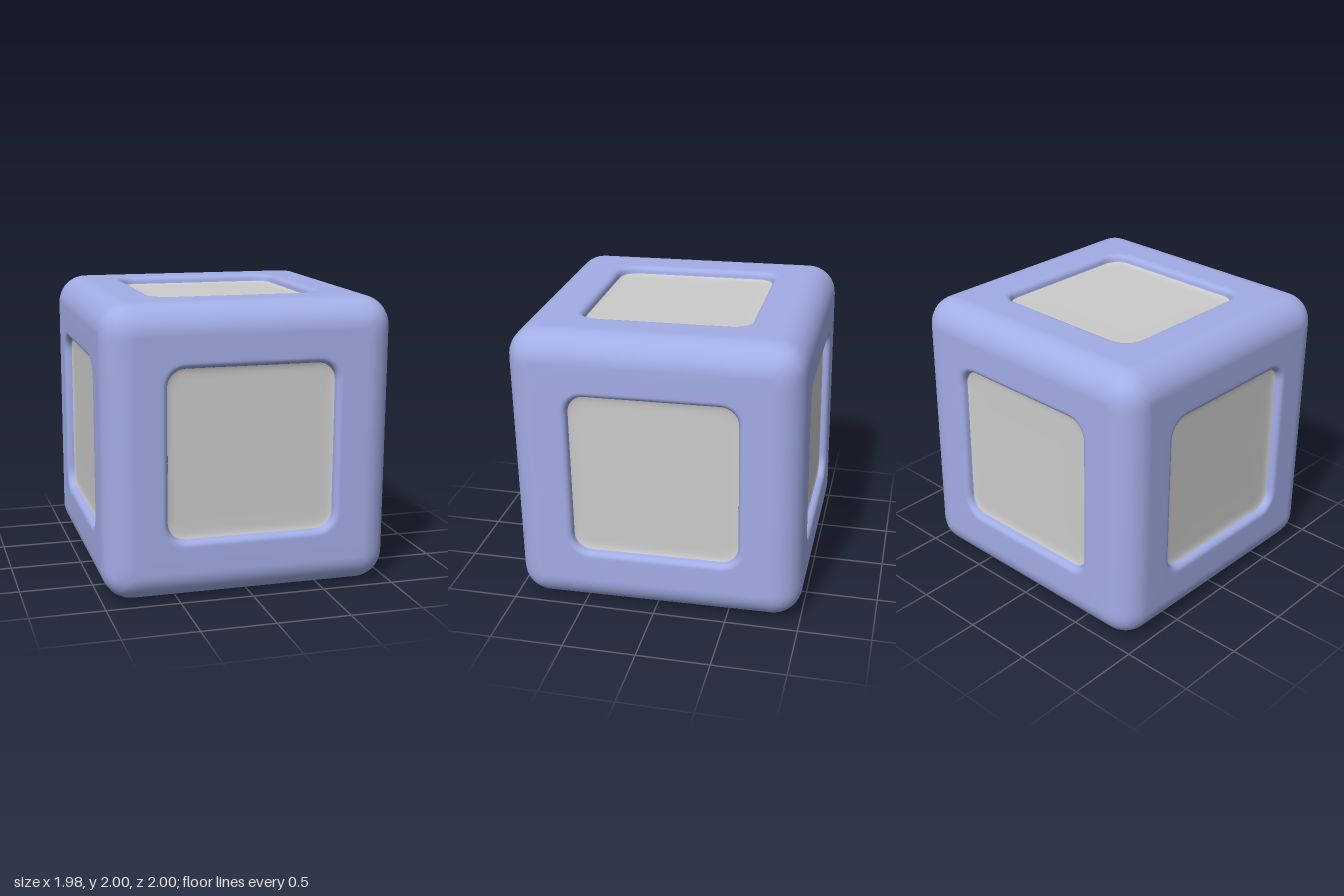
import * as THREE from 'three';
import { mergeGeometries, mergeVertices } from 'three/addons/utils/BufferGeometryUtils.js';

const H = 0.988;   // half size of the cube
const R = 0.2;     // radius of the outer edges
const SIDE = 36;   // points along each side of a loop

// Loop of points round a square of half size a with corner radius c.
function squareLoop(a, c) {
  const points = [];
  const inner = new THREE.Vector2(a - c, a - c);
  const centre = new THREE.Vector2();
  for (let s = 0; s < 4; s++) {
    for (let i = 0; i < SIDE; i++) {
      const p = new THREE.Vector2(a, a * (2 * i / SIDE - 1));
      const q = p.clone().clamp(inner.clone().negate(), inner);
      p.sub(q).normalize().multiplyScalar(c).add(q);
      points.push(p.rotateAround(centre, s * Math.PI / 2));
    }
  }
  return points;
}

// Surface through a list of loops [half size, corner radius, depth], inside to outside.
function loft(rings) {
  const n = SIDE * 4, pos = [], index = [];
  const lo = new THREE.Vector3().setScalar(R - H), hi = new THREE.Vector3().setScalar(H - R);
  rings.forEach(([a, c, depth], k) => {
    squareLoop(a, c).forEach((p, j) => {
      const v = new THREE.Vector3(p.x, p.y, H);
      const core = v.clone().clamp(lo, hi);
      v.sub(core).normalize().multiplyScalar(R).add(core); // rounds the cube's edges
      pos.push(v.x, v.y, v.z - depth);
      if (k === 0) return;
      const b = k * n + j, d = k * n + (j + 1) % n;
      index.push(b - n, b, d);
      if (rings[k - 1][0] > 0) index.push(b - n, d, d - n);
    });
  });
  const geo = new THREE.BufferGeometry();
  geo.setAttribute('position', new THREE.Float32BufferAttribute(pos, 3));
  geo.setIndex(index);
  return geo;
}

export function createModel() {
  const group = new THREE.Group();
  group.name = 'panelledCube';
  const blue = new THREE.MeshStandardMaterial({ color: 0xa2ade6 });
  const grey = new THREE.MeshStandardMaterial({ color: 0xcccccc });

  // Recess wall, rounded rim, flat border, then the outer edge up to its middle
  const frameRings = [[0.568, 0.12, 0.062], [0.572, 0.122, 0.052]];
  for (let i = 0; i <= 6; i++) {
    const t = i / 6 * Math.PI / 2;
    frameRings.push([0.614 - 0.04 * Math.cos(t), 0.163 - 0.04 * Math.cos(t), 0.04 * (1 - Math.sin(t))]);
  }
  frameRings.push([0.63, 0.17, 0]);
  for (let i = 0; i <= 6; i++) {
    frameRings.push([H - R + R * Math.tan(i / 6 * Math.PI / 4), 0, 0]);
  }

  // Panel with a slightly upturned border
  const panelRings = [
    [0, 0, 0.06], [0.3, 0.05, 0.06], [0.5, 0.09, 0.06],
    [0.53, 0.1, 0.059], [0.555, 0.11, 0.056], [0.57, 0.12, 0.05],
  ];

  const frameFace = loft(frameRings);
  const panelFace = loft(panelRings);
  panelFace.computeVertexNormals();

  // The six directions
  const turns = [[0, 0], [0, 1], [0, 2], [0, 3], [1, 0], [-1, 0]];
  const names = ['front', 'left', 'back', 'right', 'bottom', 'top'];
  const faces = turns.map(([x, y], i) => {
    const turn = new THREE.Euler(x * Math.PI / 2, y * Math.PI / 2, 0);
    const matrix = new THREE.Matrix4().makeRotationFromEuler(turn);
    const panel = new THREE.Mesh(panelFace.clone().applyMatrix4(matrix), grey);
    panel.name = names[i] + 'Panel';
    group.add(panel);
    return frameFace.clone().applyMatrix4(matrix);
  });

  // One smooth frame, welded across the edges
  const frameGeo = mergeVertices(mergeGeometries(faces), 1e-4);
  frameGeo.computeVertexNormals();
  const frame = new THREE.Mesh(frameGeo, blue);
  frame.name = 'frame';
  group.add(frame);

  // The cube leans forward very slightly
  group.rotation.x = 0.015;
  group.position.y = 1;
  const model = new THREE.Group();
  model.name = 'cube';
  model.add(group);
  return model;
}
